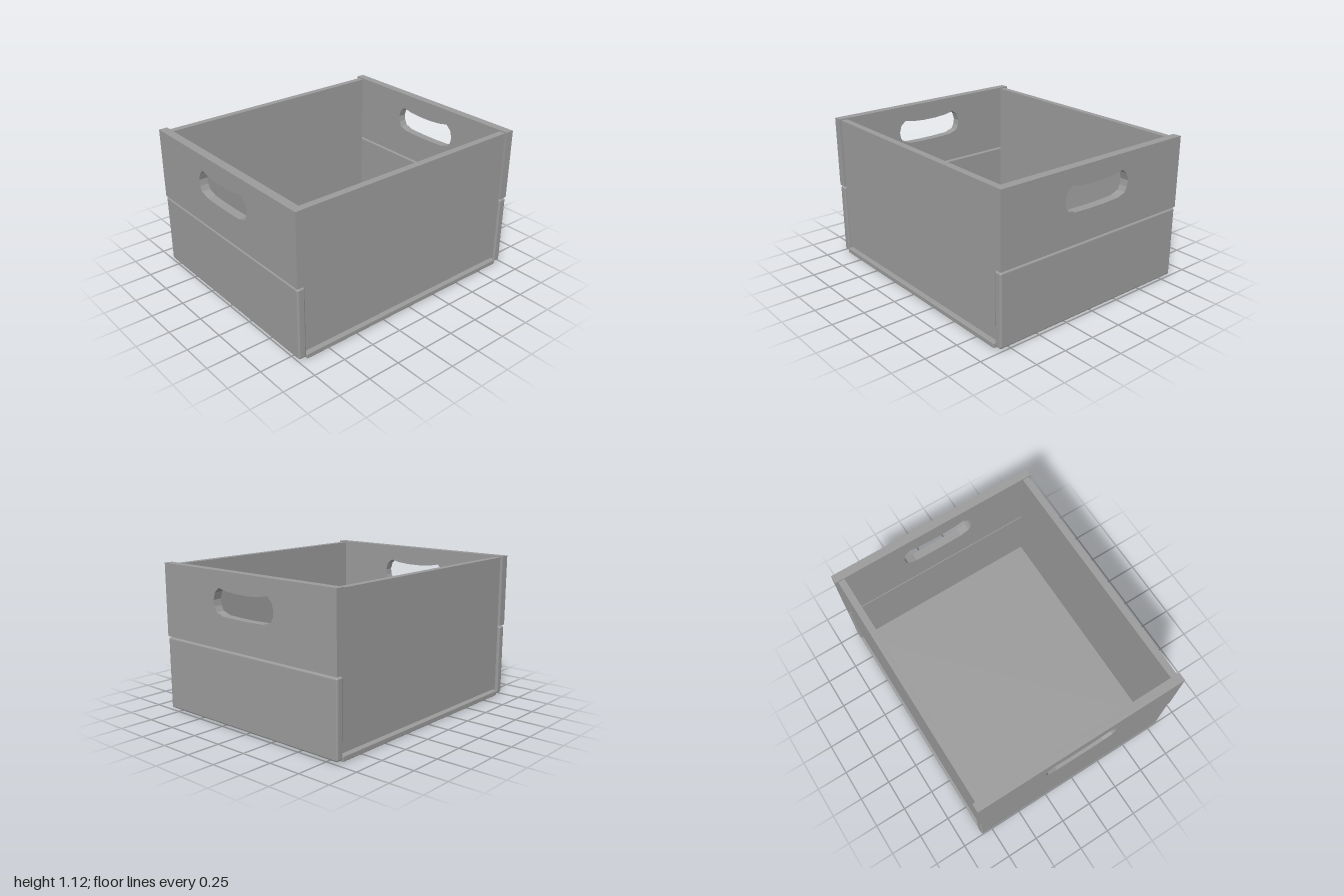
import * as THREE from 'three';
import { RoundedBoxGeometry } from 'three/addons/geometries/RoundedBoxGeometry.js';

const material = new THREE.MeshStandardMaterial({ color: 0x9b9b9b });

// Board given by its extents on each axis, with optional softened edges
function board(name, [x0, x1], [y0, y1], [z0, z1], radius = 0) {
  const size = [x1 - x0, y1 - y0, z1 - z0];
  const geometry = radius
    ? new RoundedBoxGeometry(...size, 2, radius)
    : new THREE.BoxGeometry(...size);
  const mesh = new THREE.Mesh(geometry, material);
  mesh.name = name;
  mesh.position.set((x0 + x1) / 2, (y0 + y1) / 2, (z0 + z1) / 2);
  return mesh;
}

// Upper side board with a curved hand hole, drawn in z and y
function handleBoard(name, xOuter, thickness, [z0, z1]) {
  const shape = new THREE.Shape([
    [z0, 0.571], [z1, 0.571], [z1, 1.12], [z0, 1.12],
  ].map(([z, y]) => new THREE.Vector2(z, y)));

  // One half of the hole, from bottom centre to top centre, then mirrored
  const half = [
    [0.06, 0.8], [0.2, 0.805], [0.27, 0.828], [0.29, 0.865], [0.297, 0.91],
    [0.28, 0.965], [0.237, 1.0], [0.16, 0.984], [0.06, 0.976],
  ];
  const outline = [...half, ...half.map(([z, y]) => [-z, y]).reverse()];
  shape.holes.push(new THREE.Path(outline.map(([z, y]) => new THREE.Vector2(z, y))));

  const geometry = new THREE.ExtrudeGeometry(shape, { depth: thickness, bevelEnabled: false });
  geometry.rotateY(-Math.PI / 2);
  const mesh = new THREE.Mesh(geometry, material);
  mesh.name = name;
  mesh.position.x = xOuter;
  return mesh;
}

export function createModel() {
  const crate = new THREE.Group();
  crate.name = 'crate';

  // Floor, with a narrow gap below the end panels
  crate.add(board('floor', [-0.936, 0.936], [0, 0.038], [-0.836, 0.84], 0.006));

  // Front and back panels
  crate.add(board('frontPanel', [-0.936, 0.936], [0.052, 1.11], [0.765, 0.817]));
  crate.add(board('backPanel', [-0.936, 0.936], [0.052, 1.11], [-0.818, -0.767]));

  // Rounded lower boards and upper boards with hand holes
  const t = 0.066;
  const sideZ = [-0.84, 0.834];
  crate.add(board('leftLowerBoard', [0.936, 0.998], [0.015, 0.562], sideZ, 0.014));
  crate.add(board('rightLowerBoard', [-0.998, -0.936], [0.015, 0.562], sideZ, 0.014));
  crate.add(handleBoard('leftHandleBoard', 1, t, sideZ));
  crate.add(handleBoard('rightHandleBoard', -1 + t, t, sideZ));

  return crate;
}
